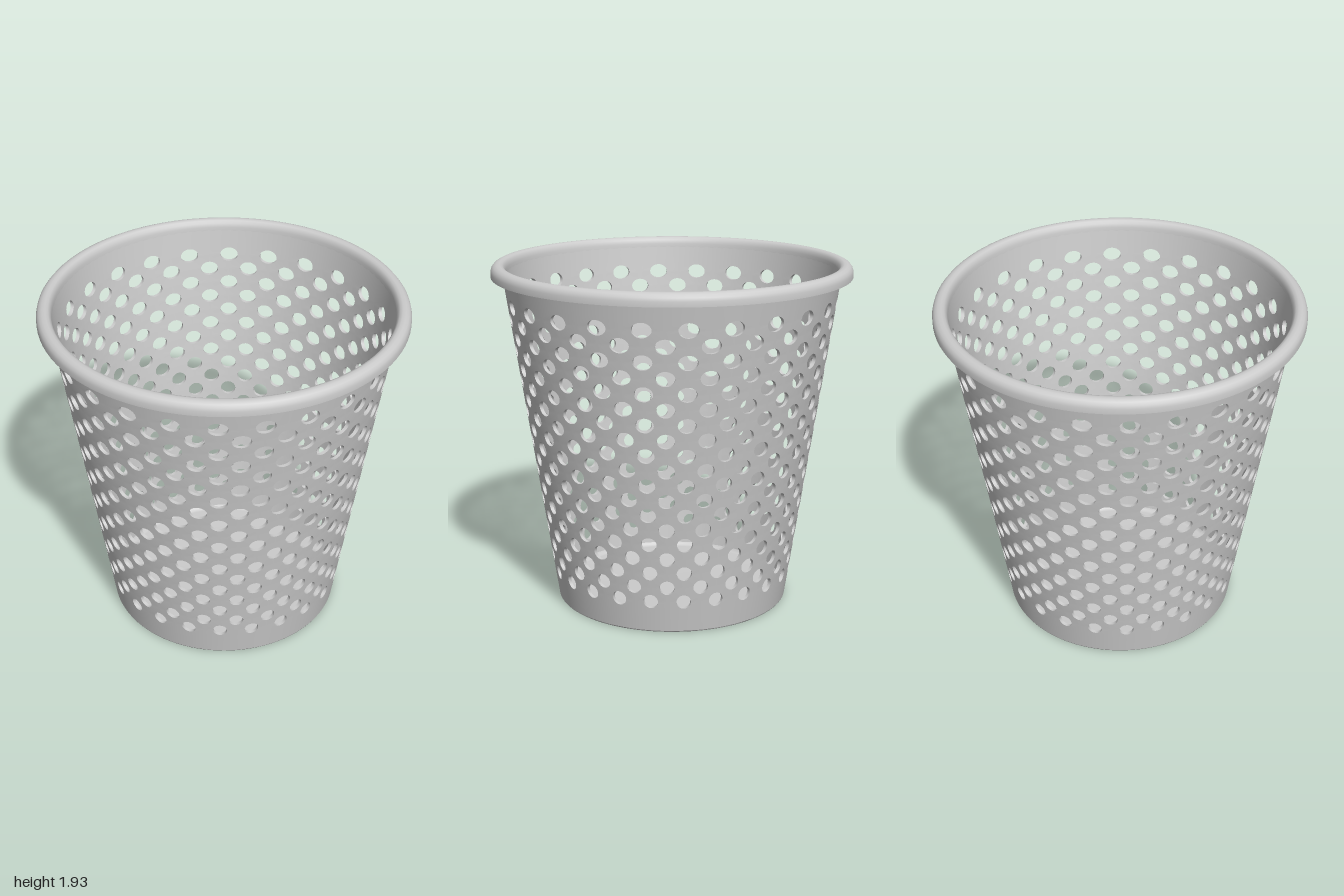
import * as THREE from 'three';
import { mergeVertices, toCreasedNormals } from 'three/addons/utils/BufferGeometryUtils.js';

const ROWS = 19, COLS = 24, SEG = 6;          // SEG: steps per diamond edge
const TOP_ROW = 1.73, PITCH = 0.0857;         // hole rows
const HALF = Math.PI / COLS;                  // half the angular hole spacing
const HOLE_A = 0.058, HOLE_H = 0.041;         // hole half width (radians) and half height
const THICK = 0.02, WALL_TOP = 1.88, WALL_BOTTOM = 0.008;

// Point on the tapered wall, d = depth below the outer face
function wallPoint([a, y], d) {
  const r = 0.657 + 0.149 * y - d;
  return [r * Math.sin(a), y, r * Math.cos(a)];
}

// Smooth surface from a list of quads, each with four 3D corners
function surface(quads, name, material) {
  const pos = [];
  for (const [a, b, c, d] of quads) pos.push(...a, ...b, ...c, ...a, ...c, ...d);
  let geo = new THREE.BufferGeometry();
  geo.setAttribute('position', new THREE.Float32BufferAttribute(pos, 3));
  geo = mergeVertices(geo, 1e-5);
  geo.computeVertexNormals();
  const mesh = new THREE.Mesh(geo, material);
  mesh.name = name;
  return mesh;
}

function lathe(points, name, material) {
  const geo = new THREE.LatheGeometry(points.map(p => new THREE.Vector2(...p)), 96);
  const mesh = new THREE.Mesh(toCreasedNormals(geo, 0.7), material);
  mesh.name = name;
  return mesh;
}

export function createModel() {
  const group = new THREE.Group();
  group.name = 'wasteBasket';
  const material = new THREE.MeshStandardMaterial({ color: 0xcccccc });

  // Hole outline and the diamond cell round it, as offsets in (angle, height)
  const N = SEG * 4;
  const corners = [[HALF, 0], [0, PITCH], [-HALF, 0], [0, -PITCH]];
  const hole = [], cell = [];
  for (let i = 0; i < N; i++) {
    const t = (i / N) * Math.PI * 2;
    hole.push([HOLE_A * Math.cos(t), HOLE_H * Math.sin(t)]);
    const k = Math.floor(i / SEG), f = (i % SEG) / SEG;
    const p = corners[k], q = corners[(k + 1) % 4];
    cell.push([p[0] + (q[0] - p[0]) * f, p[1] + (q[1] - p[1]) * f]);
  }

  const skin = [];      // wall quads in (angle, height), counter-clockwise from outside
  const holeEdges = [];
  for (let row = 0; row < ROWS; row++) {
    for (let col = 0; col < COLS; col++) {
      const a = (col * 2 + (row % 2)) * HALF, y = TOP_ROW - row * PITCH;
      const at = p => [a + p[0], y + p[1]];
      for (let i = 0; i < N; i++) {
        const j = (i + 1) % N;
        const h0 = at(hole[i]), h1 = at(hole[j]);
        skin.push([h0, at(cell[i]), at(cell[j]), h1]);
        holeEdges.push([wallPoint(h0, 0), wallPoint(h1, 0), wallPoint(h1, THICK), wallPoint(h0, THICK)]);
      }
    }
  }

  // Plain bands above and below the perforation, meeting its zigzag border
  const steps = COLS * 2 * SEG;
  const zig = i => Math.abs(((i / SEG) % 2) - 1) * PITCH;
  const bottomRow = TOP_ROW - (ROWS - 1) * PITCH;
  for (let i = 0; i < steps; i++) {
    const a0 = (i / SEG) * HALF, a1 = ((i + 1) / SEG) * HALF;
    const z0 = zig(i), z1 = zig(i + 1);
    skin.push([[a0, TOP_ROW + z0], [a1, TOP_ROW + z1], [a1, WALL_TOP], [a0, WALL_TOP]]);
    skin.push([[a0, WALL_BOTTOM], [a1, WALL_BOTTOM], [a1, bottomRow - z1], [a0, bottomRow - z0]]);
  }

  group.add(surface(skin.map(q => q.map(p => wallPoint(p, 0))), 'outerWall', material));
  group.add(surface(skin.map(q => q.map(p => wallPoint(p, THICK)).reverse()), 'innerWall', material));
  group.add(surface(holeEdges, 'holeEdges', material));

  // Rim with a flat underside and rounded top
  group.add(lathe([
    [0.916, 1.865], [1, 1.865], [1, 1.893], [0.995, 1.911], [0.984, 1.925], [0.968, 1.933],
    [0.95, 1.935], [0.935, 1.93], [0.924, 1.917], [0.918, 1.895], [0.916, 1.865],
  ], 'rim', material));

  // Base: slightly recessed underside, foot ring and floor with a small fillet
  group.add(lathe([
    [0, 0.012], [0.628, 0.012], [0.632, 0], [0.652, 0], [0.656, 0.003], [0.658, 0.009],
  ], 'base', material));
  group.add(lathe([
    [0.645, 0.05], [0.638, 0.038], [0.628, 0.031], [0.615, 0.03], [0, 0.03],
  ], 'floor', material));

  return group;
}
